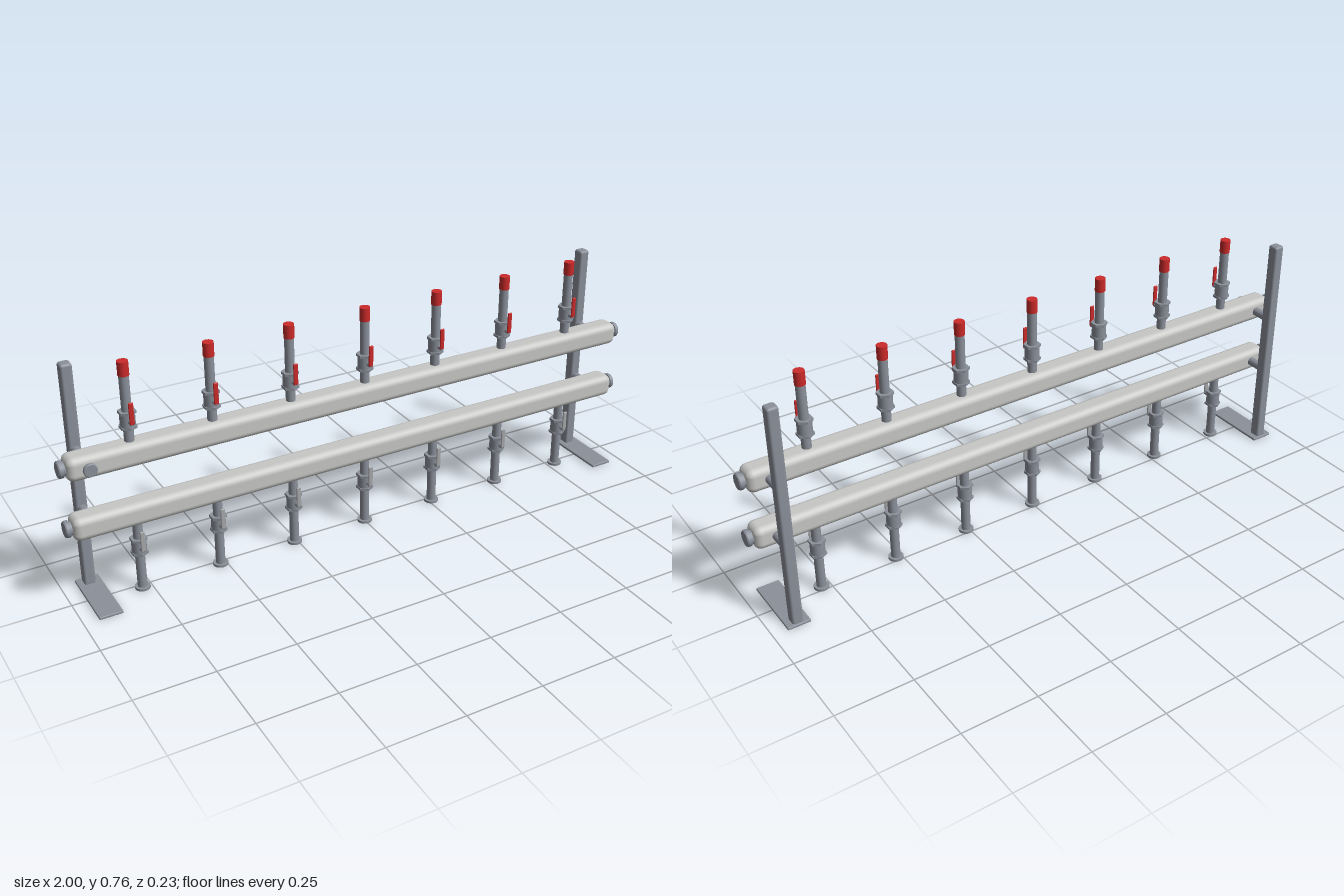
import * as THREE from 'three';
import { RoundedBoxGeometry } from 'three/addons/geometries/RoundedBoxGeometry.js';

const mat = (name, color) => {
  const m = new THREE.MeshStandardMaterial({ color });
  m.name = name;
  return m;
};

export function createModel() {
  const steel = mat('steel grey', 0x8b909a);
  const pale = mat('pale metal', 0xc8c8c6);
  const silver = mat('silver handle', 0xa6a8aa);
  const red = mat('red', 0xcc2a2a);
  const root = new THREE.Group();
  root.name = 'pipeManifold';
  const Z = 0.016; // shared depth of bars and pipes

  const add = (parent, name, geo, material, x, y, z) => {
    const m = new THREE.Mesh(geo, material);
    m.name = name;
    m.position.set(x, y, z);
    parent.add(m);
    return m;
  };
  const box = (w, h, d, r) => new RoundedBoxGeometry(w, h, d, 3, r);
  const rod = (r, h, sides = 20) => new THREE.CylinderGeometry(r, r, h, sides);
  const upright = (parent, name, r, y0, y1, material = steel) =>
    add(parent, name, rod(r, y1 - y0), material, 0, (y0 + y1) / 2, 0);

  // Hexagonal collar, points facing front and back
  const hexGeo = rod(0.0275, 0.008, 6).toNonIndexed();
  hexGeo.computeVertexNormals();

  // Screw plug pointing along +y: narrow neck, then a chamfered head
  const plug = (name, r, neck, head) => {
    const g = new THREE.Group();
    g.name = name;
    upright(g, 'plugNeck', r * 0.84, -0.01, neck);
    upright(g, 'plugHead', r, neck, neck + head * 0.75);
    add(g, 'plugChamfer', new THREE.CylinderGeometry(r * 0.9, r, head * 0.25, 20),
      steel, 0, neck + head * 0.875, 0);
    root.add(g);
    return g;
  };

  // Ball valve with lever, centred on its body
  const valve = (handleMaterial) => {
    const g = new THREE.Group();
    g.name = 'valve';
    upright(g, 'valveBody', 0.023, -0.024, 0.024);
    for (const s of [-1, 1]) add(g, 'hexCollar', hexGeo, steel, 0, s * 0.0235, 0);
    add(g, 'valveStem', rod(0.0065, 0.025, 12), steel, 0, -0.001, 0.027).rotation.x = Math.PI / 2;
    add(g, 'valveHandle', box(0.015, 0.07, 0.006, 0.0028), handleMaterial, 0, 0.033, 0.039);
    return g;
  };

  // Two horizontal distribution bars with end plugs and wall brackets
  for (const y of [0.474, 0.276]) {
    add(root, 'manifoldBar', box(1.96, 0.075, 0.075, 0.022), pale, 0, y, Z);
    for (const s of [-1, 1]) {
      const p = plug('endPlug', 0.026, 0.007, 0.014);
      p.position.set(s * 0.979, y, Z);
      p.rotation.z = -s * Math.PI / 2;
      add(root, 'bracket', rod(0.0145, 0.065), steel, s * 0.915, y, -0.044).rotation.x = Math.PI / 2;
    }
  }

  // Plug on the front of the upper bar
  const frontPlug = plug('frontPlug', 0.021, 0.005, 0.01);
  frontPlug.position.set(-0.917, 0.474, 0.0535);
  frontPlug.rotation.x = Math.PI / 2;

  // Stand posts and flat feet
  for (const s of [-1, 1]) {
    add(root, 'post', box(0.036, 0.744, 0.037, 0.008), steel, s * 0.915, 0.376, -0.0875);
    add(root, 'foot', box(0.075, 0.009, 0.226, 0.003), steel, s * 0.915, 0.0045, 0);
  }

  // Seven outlets above and seven drops below
  for (let i = -3; i <= 3; i++) {
    const outlet = new THREE.Group();
    outlet.name = 'upperOutlet';
    outlet.position.set(i * 0.26, 0, Z);
    upright(outlet, 'pipe', 0.015, 0.49, 0.73);
    upright(outlet, 'redCap', 0.0168, 0.72, 0.764, red);
    const top = valve(red);
    top.position.y = 0.581;
    outlet.add(top);

    const drop = new THREE.Group();
    drop.name = 'lowerDrop';
    drop.position.set(i * 0.26, 0, Z);
    upright(drop, 'pipe', 0.015, 0.006, 0.26);
    upright(drop, 'endFlange', 0.024, 0.001, 0.009);
    const low = valve(silver);
    low.position.y = 0.154;
    drop.add(low);
    root.add(outlet, drop);
  }
  return root;
}
